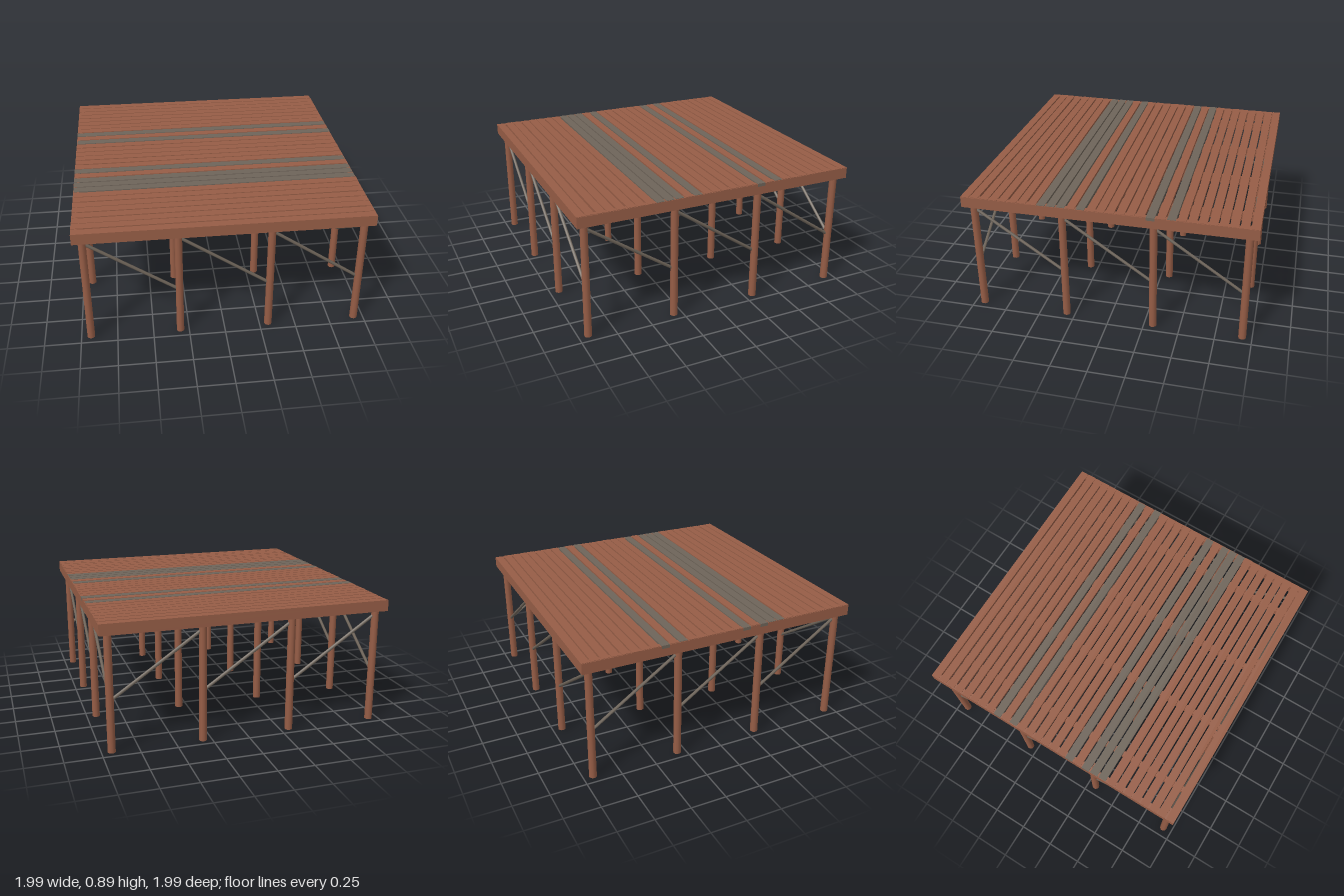
import * as THREE from 'three';

export function createModel() {
  const model = new THREE.Group();
  model.name = 'deck';
  const wood = new THREE.MeshStandardMaterial({ color: 0x965d46 });
  wood.name = 'red wood';
  const grey = new THREE.MeshStandardMaterial({ color: 0x6e6459 });
  grey.name = 'weathered grey';

  const add = (name, geometry, material, x, y, z) => {
    const mesh = new THREE.Mesh(geometry, material);
    mesh.name = name;
    mesh.position.set(x, y, z);
    model.add(mesh);
    return mesh;
  };
  let seed = 7;
  const jitter = () => {
    seed = (seed * 16807) % 2147483647;
    return (seed / 2147483647) * 2 - 1;
  };

  // Rim boards around the deck
  for (const s of [-1, 1]) {
    add('rimLong', new THREE.BoxGeometry(1.99, 0.075, 0.045), wood, 0, 0.8475, s * 0.9725);
    add('rimSide', new THREE.BoxGeometry(0.04, 0.075, 1.9), wood, s * 0.975, 0.8475, 0);
  }

  // Planks, each laid slightly askew, a few of them grey
  const plankCount = 30, pitch = 2 / plankCount;
  const greyPlanks = [8, 10, 17, 19, 20, 21];
  const plank = new THREE.BoxGeometry(1.985, 0.022, 0.057);
  for (let i = 0; i < plankCount; i++) {
    const edge = i === 0 || i === plankCount - 1;
    const mesh = add('plank', plank, greyPlanks.includes(i) ? grey : wood,
      edge ? 0 : jitter() * 0.004, 0.877 + jitter() * 0.0005, (i + 0.5) * pitch - 1);
    mesh.rotation.y = edge ? 0 : jitter() * 0.003;
  }

  // Joists under the planks
  for (const x of [-0.757, -0.247, 0.243, 0.753])
    add('joist', new THREE.BoxGeometry(0.036, 0.05, 1.88), wood, x, 0.841, 0);

  // Grid of round posts
  const stations = [-0.933, -0.311, 0.311, 0.933];
  const postGeometry = new THREE.CylinderGeometry(0.026, 0.027, 0.865, 10);
  for (const x of stations)
    for (const z of stations)
      add('post', postGeometry, wood, x, 0.4325, z);

  // Diagonal braces between the outer posts
  const up = new THREE.Vector3(0, 1, 0);
  const brace = (from, to) => {
    const dir = to.clone().sub(from);
    const mesh = add('brace', new THREE.CylinderGeometry(0.011, 0.011, dir.length(), 6), grey, 0, 0, 0);
    mesh.position.copy(from).add(to).multiplyScalar(0.5);
    mesh.quaternion.setFromUnitVectors(up, dir.normalize());
  };
  const high = 0.78, low = 0.355;
  for (const side of [-0.933, 0.933])
    for (let i = 0; i < 3; i++) {
      const a = stations[i], b = stations[i + 1];
      brace(new THREE.Vector3(a, high, side), new THREE.Vector3(b, low, side));
      brace(new THREE.Vector3(side, high, b), new THREE.Vector3(side, low, a));
    }
  return model;
}
